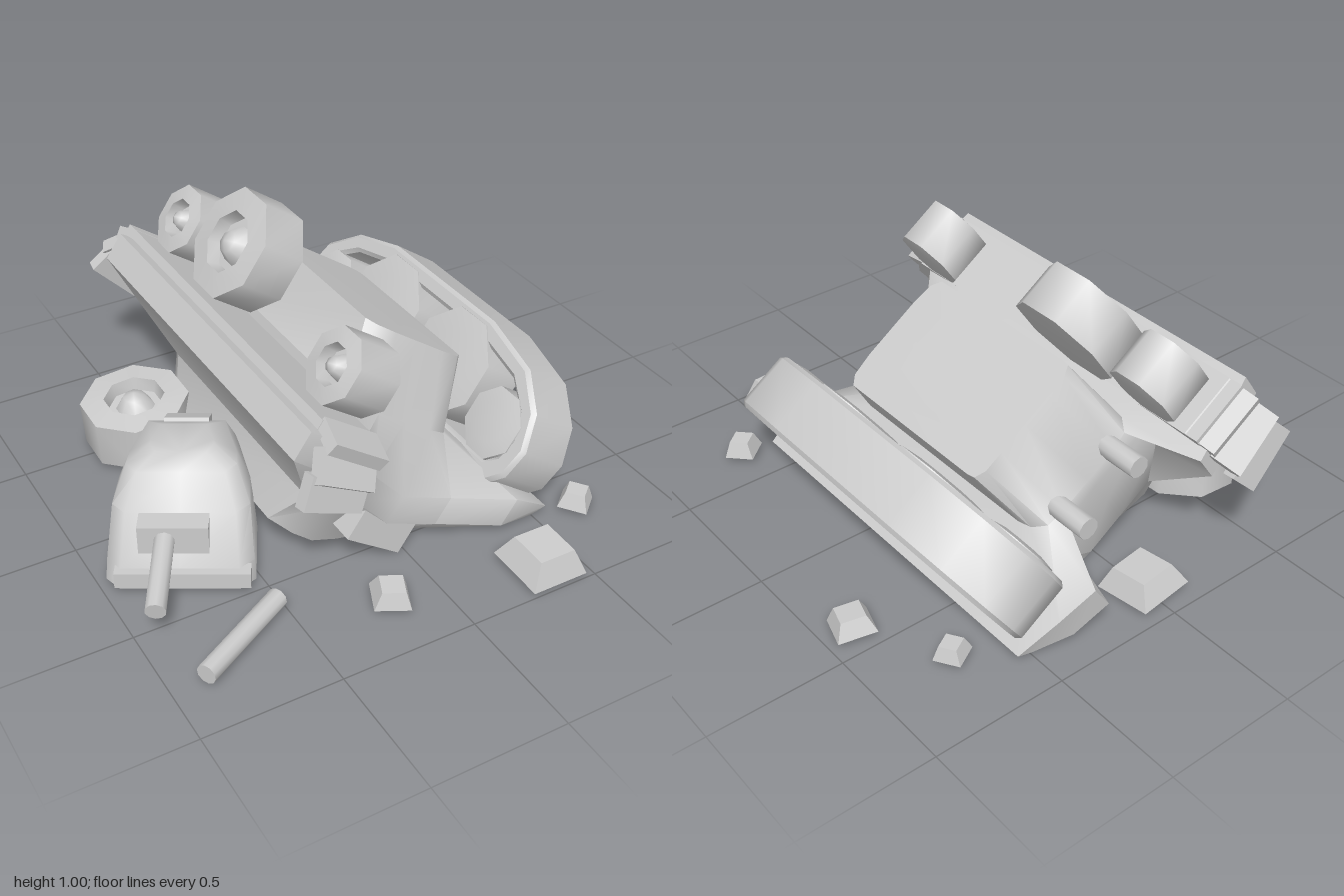
import * as THREE from 'three';
import { toCreasedNormals } from 'three/addons/utils/BufferGeometryUtils.js';

const mat = new THREE.MeshStandardMaterial({ color: 0xcccccc, side: THREE.DoubleSide });

function add(parent, name, geo, pos = [0, 0, 0], rot = [0, 0, 0], crease = 0.6) {
  const mesh = new THREE.Mesh(toCreasedNormals(geo, crease), mat);
  mesh.name = name;
  mesh.position.set(...pos);
  mesh.rotation.set(...rot);
  parent.add(mesh);
  return mesh;
}

// Closed loft through horizontal rings; each half ring [x, z, drop] runs from front to back on +x
function loft(levels) {
  const rings = levels.map(({ y, half }) => {
    const right = half.map(([x, z, drop = 0]) => [x, y - drop, z]);
    const left = right.slice(1, -1).reverse().map(([x, h, z]) => [-x, h, z]);
    return [...right, ...left];
  });
  const n = rings[0].length, index = [];
  for (let l = 0; l < rings.length - 1; l++) {
    for (let i = 0; i < n; i++) {
      const a = l * n + i, b = l * n + (i + 1) % n;
      index.push(a, b, b + n, a, b + n, a + n);
    }
  }
  const top = (rings.length - 1) * n;
  for (let i = 1; i < n - 1; i++) {
    index.push(0, i + 1, i);
    index.push(top, top + i, top + i + 1);
  }
  const geo = new THREE.BufferGeometry();
  geo.setAttribute('position', new THREE.Float32BufferAttribute(rings.flat(2), 3));
  geo.setIndex(index);
  return geo;
}

// Eight-sided road wheel with a dished hub, facing +y; r is the distance to its flats
function wheelGeo(r) {
  const R = r / Math.cos(Math.PI / 8);
  const pts = [[0, -0.1], [R * 0.6, -0.1], [R, -0.09], [R, 0.09], [R * 0.56, 0.1],
    [R * 0.5, 0.05], [R * 0.36, 0.05], [R * 0.2, 0.1], [0, 0.115]];
  return new THREE.LatheGeometry(pts.map(p => new THREE.Vector2(...p)), 8, Math.PI / 8);
}

// Cylinder between two points
function rod(parent, name, a, b, r) {
  const p = new THREE.Vector3(...a), q = new THREE.Vector3(...b);
  const mesh = add(parent, name, new THREE.CylinderGeometry(r, r, p.distanceTo(q), 10),
    p.clone().add(q).multiplyScalar(0.5).toArray(), [0, 0, 0], 0.9);
  mesh.quaternion.setFromUnitVectors(new THREE.Vector3(0, 1, 0), q.sub(p).normalize());
}

// Track outline in (z, y), scaled about its centre for the inner edge
const OUTLINE = [[0.57, 0.335], [0.63, 0.4], [0.65, 0.51], [0.6, 0.64], [0.47, 0.75], [0.2, 0.81],
  [-0.47, 0.81], [-0.7, 0.75], [-0.84, 0.64], [-0.88, 0.51], [-0.85, 0.4], [-0.78, 0.335]];

function trackGeo(width) {
  const ring = (sz, sy) => OUTLINE.map(([z, y]) =>
    new THREE.Vector2(-0.115 + (z + 0.115) * sz, 0.572 + (y - 0.572) * sy));
  const shape = new THREE.Shape(ring(0.98, 0.95));
  shape.holes.push(new THREE.Path(ring(0.92, 0.77)));
  const geo = new THREE.ExtrudeGeometry(shape, { depth: width - 0.03, bevelThickness: 0.015,
    bevelSize: 0.015, bevelSegments: 1, steps: 1 });
  geo.translate(0, 0, 0.015);
  return geo.rotateY(-Math.PI / 2);
}

export function createModel() {
  const root = new THREE.Group();
  root.name = 'wreckedTank';

  // Overturned vehicle, lying belly up and leaning on its left side
  const tank = new THREE.Group();
  tank.name = 'overturnedBody';
  tank.position.set(-0.127, 0.088, 0);
  tank.rotation.z = -0.61;
  tank.updateMatrix();
  root.add(tank);

  const fender = [[0, 0.57, 0.15], [0.2, 0.58, 0.1], [0.4, 0.67], [0.59, 0.64], [0.59, -0.85],
    [0.42, -0.89], [0.27, -0.92], [0.25, -0.67], [0, -0.66]];
  const belly = [[0, 0.25], [0.12, 0.25], [0.21, 0.24], [0.245, 0.21], [0.245, -0.45], [0.24, -0.48],
    [0.2, -0.5], [0.12, -0.5], [0, -0.5]];
  const hull = loft([
    { y: -0.11, half: [[0, 0.42], [0.12, 0.42], [0.2, 0.4], [0.27, 0.33], [0.27, -0.42], [0.24, -0.5],
      [0.2, -0.52], [0.14, -0.53], [0, -0.53]] },
    { y: 0.06, half: [[0, 0.5], [0.14, 0.5], [0.22, 0.5], [0.29, 0.46], [0.29, -0.55], [0.27, -0.6],
      [0.22, -0.62], [0.16, -0.62], [0, -0.62]] },
    { y: 0.24, half: fender },
    { y: 0.35, half: fender },
    { y: 0.4, half: [[0, 0.39], [0.13, 0.39], [0.22, 0.37], [0.25, 0.32], [0.25, -0.54], [0.24, -0.6],
      [0.2, -0.65], [0.13, -0.66], [0, -0.66]] },
    { y: 0.65, half: belly },
    { y: 0.652, half: belly.map(([x, z]) => [x * 0.6, (z + 0.12) * 0.6 - 0.12]) },
  ]);
  // Crush the parts that press into the ground, denting the two lowest rings inward
  hull.applyMatrix4(tank.matrix);
  const p = hull.attributes.position;
  for (let i = 0; i < p.count; i++) {
    const buried = 0.02 - p.getY(i);
    const dent = i < 32 ? 0.12 : 0;
    if (buried > 0) p.setY(i, 0.02 + Math.min(dent, buried * 0.6));
  }
  add(root, 'hull', hull, [0, 0, 0], [0, 0, 0], 0.9);

  // Front plate hatch and rear exhausts
  add(tank, 'frontHatch', new THREE.BoxGeometry(0.25, 0.18, 0.16), [0, 0.085, 0.49]);
  for (const s of [-1, 1]) rod(tank, 'exhaust', [s * 0.13, 0.41, -0.62], [s * 0.13, 0.41, -0.79], 0.04);

  // Remaining left track and the wheels of both sides
  add(tank, 'leftTrack', trackGeo(0.235), [0.55, 0, 0], [0, 0, 0], 0.7);
  const wheels = [[0.46, 0.125], [0.11, 0.195], [-0.35, 0.195], [-0.7, 0.125]];
  for (const s of [-1, 1]) {
    wheels.forEach(([z, r], i) => {
      if (s < 0 && i === 1) return;
      add(tank, s > 0 ? 'leftWheel' : 'rightWheel', wheelGeo(r),
        [s * 0.4, r > 0.15 ? 0.59 : 0.525, z], [0, 0, -s * Math.PI / 2], 1);
    });
  }

  // Broken right track: a strip on the fender and drooping links at both ends
  add(tank, 'brokenTrackStrip', new THREE.BoxGeometry(0.24, 0.05, 1.5), [-0.43, 0.365, -0.135]);
  const links = [[0.66, 0.36, 0.3], [0.69, 0.28, 1], [0.7, 0.2, 1.4],
    [-0.88, 0.35, -0.3], [-0.94, 0.28, -0.8], [-0.965, 0.19, -1.4]];
  links.forEach(([z, y, tilt], i) => add(tank, 'trackLink', new THREE.BoxGeometry(0.235, 0.05, 0.12),
    [-0.43, y, z], [tilt, (i % 3) * 0.1, 0]));

  // Turret thrown off to the side
  const turret = new THREE.Group();
  turret.name = 'turret';
  turret.position.set(-0.64, 0, 0.145);
  turret.rotation.y = -0.52;
  root.add(turret);
  const slice = (w, f, b) => [[0, f], [w * 0.8, f], [w, f - 0.05], [w * 0.97, -0.06], [w * 0.72, b], [0, b]];
  add(turret, 'turretShell', loft([
    { y: 0.03, half: slice(0.255, 0.27, -0.31) },
    { y: 0.1, half: slice(0.25, 0.25, -0.32) },
    { y: 0.25, half: slice(0.235, 0.14, -0.3) },
    { y: 0.36, half: slice(0.19, 0.06, -0.24) },
    { y: 0.41, half: slice(0.11, 0.01, -0.15) },
  ]), [0, 0, 0], [0, 0, 0], 0.9);
  add(turret, 'gunMantlet', new THREE.BoxGeometry(0.24, 0.14, 0.14), [-0.02, 0.18, 0.15]);
  add(turret, 'frontLip', new THREE.BoxGeometry(0.46, 0.06, 0.06), [0.01, 0.07, 0.25]);
  add(turret, 'cupola', new THREE.BoxGeometry(0.16, 0.16, 0.14), [0, 0.28, -0.25], [-0.5, 0, 0]);
  rod(root, 'gunStub', [-0.75, 0.21, 0.24], [-0.94, 0.145, 0.56], 0.036);
  rod(root, 'brokenBarrel', [-0.89, 0.07, 0.82], [-0.53, 0.07, 0.62], 0.036);

  // Wheel lying flat on the ground
  add(root, 'looseWheel', wheelGeo(0.19), [-0.55, 0.14, -0.47], [0.05, 0, 0.08], 1);

  // Scattered armour fragments: x, z, size, height, turn
  const scraps = [[0, -0.84, 0.22, 0.08, 0.08], [0.36, 0.88, 0.23, 0.09, 0.04], [0.89, -0.39, 0.14, 0.06, -0.3],
    [0.67, 0.67, 0.11, 0.06, 0.7], [-0.18, 0.77, 0.13, 0.06, -0.4], [0.71, -0.7, 0.1, 0.05, 0.5]];
  for (const [x, z, size, h, turn] of scraps) {
    const geo = new THREE.CylinderGeometry(size * 0.45, size * 0.7, h, 4, 1).rotateY(Math.PI / 4);
    add(root, 'armourFragment', geo, [x, 0.03 + h / 2, z], [0.08, turn, -0.06]);
  }
  return root;
}
